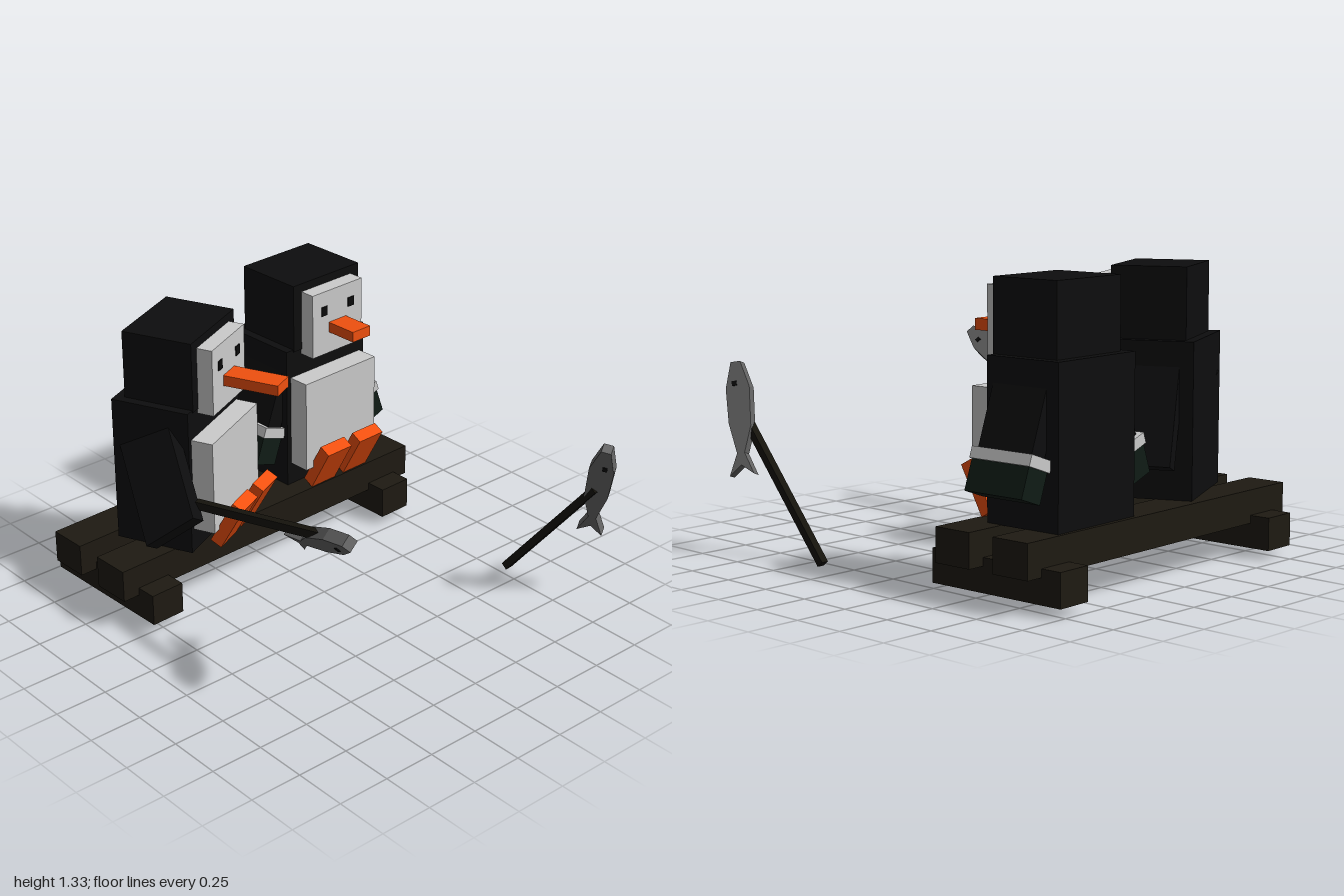
import * as THREE from 'three';

const mat = (color) => new THREE.MeshStandardMaterial({ color, flatShading: true });
const M = {
  black: mat(0x0d0d0e), white: mat(0xcccccc), orange: mat(0xf0500f), wood: mat(0x1e1a12),
  rod: mat(0x16140d), mitten: mat(0x101c16), fish: mat(0x666666), eye: mat(0x0a0a0a),
};

// Box given by its size and centre
function box(parent, name, material, size, pos) {
  const m = new THREE.Mesh(new THREE.BoxGeometry(...size), material);
  m.name = name;
  m.position.set(...pos);
  parent.add(m);
  return m;
}

// Orients an object so that its x follows dir and its y leans toward side
function orient(obj, dir, side) {
  const d = new THREE.Vector3(...dir).normalize();
  const v = new THREE.Vector3(...side);
  v.addScaledVector(d, -v.dot(d)).normalize();
  const n = new THREE.Vector3().crossVectors(d, v);
  obj.quaternion.setFromRotationMatrix(new THREE.Matrix4().makeBasis(d, v, n));
  return d;
}

// Bench: two planks on two cross beams
function makeBench() {
  const bench = new THREE.Group();
  bench.name = 'bench';
  for (const s of [-1, 1]) {
    box(bench, 'benchPlank', M.wood, [0.187, 0.153, 1.78], [s * 0.157, 0.24, 0]);
    box(bench, 'benchBeam', M.wood, [0.7, 0.15, 0.17], [0, 0.125, s * 0.72]);
  }
  bench.position.set(-0.617, 0, 0.016);
  bench.rotation.y = 0.037;
  return bench;
}

// Hanging arm, with an optional cuffed mitten
function addArm(parent, side, mitten) {
  const arm = new THREE.Group();
  arm.name = 'arm';
  box(arm, 'flipper', M.black, [0.285, 0.56, 0.085], [0.015, -0.28, 0]);
  if (mitten) {
    box(arm, 'cuff', M.white, [0.32, 0.05, 0.135], [0.01, -0.415, 0]);
    box(arm, 'mitten', M.mitten, [0.305, 0.135, 0.12], [0.01, -0.508, 0]);
  }
  arm.position.set(0, 1.0, side * 0.17);
  arm.rotation.x = -side * 0.345;
  parent.add(arm);
}

// Seated penguin facing its own +x
function makePenguin(name, beakTip, footShift) {
  const p = new THREE.Group();
  p.name = name;
  box(p, 'torso', M.black, [0.38, 0.7, 0.5], [0, 0.665, 0]);
  box(p, 'head', M.black, [0.34, 0.33, 0.415], [0.025, 1.17, 0]);
  box(p, 'belly', M.white, [0.12, 0.45, 0.45], [0.235, 0.652, 0]);
  box(p, 'face', M.white, [0.09, 0.315, 0.315], [0.225, 1.138, 0]);
  box(p, 'beak', M.orange, [beakTip - 0.2, 0.05, 0.11], [(beakTip + 0.2) / 2, 1.11, 0]);
  for (const s of [-1, 1]) {
    box(p, 'eye', M.eye, [0.02, 0.045, 0.036], [0.265, 1.2, s * 0.085]);
    // Feet lean forward with the soles showing
    const foot = box(p, 'foot', M.orange, [0.06, 0.24, 0.152],
      [0.315 + footShift, 0.436 + footShift, s * 0.104]);
    foot.rotation.z = -0.5;
  }
  return p;
}

// Flat fish along +x from its tail, with an eye on each side
function makeFish(tail, dir, side) {
  const fish = new THREE.Group();
  fish.name = 'fish';
  const outline = [[0, 0.058], [0.045, 0], [0, -0.058], [0.1, -0.018], [0.22, -0.055], [0.4, -0.058],
    [0.52, -0.02], [0.52, 0.025], [0.4, 0.055], [0.24, 0.05], [0.1, 0.018]];
  const shape = new THREE.Shape(outline.map(([x, y]) => new THREE.Vector2(x, y)));
  const geo = new THREE.ExtrudeGeometry(shape, { depth: 0.056, bevelEnabled: false });
  geo.translate(0, 0, -0.028);
  const body = new THREE.Mesh(geo, M.fish);
  body.name = 'fishBody';
  fish.add(body);
  box(fish, 'fishEye', M.eye, [0.022, 0.022, 0.066], [0.42, 0.012, 0]);
  fish.position.set(...tail);
  orient(fish, dir, side);
  return fish;
}

// Square rod between two points
function makeRod(a, b) {
  const d = b.map((v, i) => v - a[i]);
  const rod = new THREE.Mesh(new THREE.BoxGeometry(Math.hypot(...d), 0.036, 0.036), M.rod);
  rod.name = 'rod';
  rod.position.set(...a.map((v, i) => (v + b[i]) / 2));
  orient(rod, d, [0, 1, 0]);
  return rod;
}

export function createModel() {
  const model = new THREE.Group();
  model.add(makeBench());

  // Penguin with mittens
  const a = makePenguin('mittenPenguin', 0.43, 0);
  addArm(a, 1, true);
  addArm(a, -1, true);
  a.position.set(-0.675, 0, -0.42);
  a.rotation.y = 0.05;
  model.add(a);

  // Penguin turned toward its neighbour
  const b = makePenguin('turnedPenguin', 0.535, 0.017);
  addArm(b, -1, false);
  b.position.set(-0.545, 0, 0.41);
  b.rotation.y = 0.435;
  model.add(b);

  // Its outer arm reaches forward to the rod
  const arm = box(model, 'raisedArm', M.black, [0.58, 0.28, 0.07], [0, 0, 0]);
  const d = orient(arm, [0.755, -0.58, 0.3], [-0.645, -0.617, 0.437]);
  arm.position.set(-0.11, 0.565, 0.765).addScaledVector(d, -0.29);

  // Held rod and loose rod, each with a fish on the end
  const held = new THREE.Group();
  held.name = 'heldFishingRod';
  held.add(makeRod([-0.1, 0.675, 0.65], [0.7, 0.845, 0.602]),
    makeFish([0.425, 0.69, 0.517], [0.45, 0.21, 0.115], [0.05, -0.085, -0.075]));
  const loose = new THREE.Group();
  loose.name = 'looseFishingRod';
  loose.add(makeRod([0.4, 0.02, -0.8], [0.9, 0.635, -0.82]),
    makeFish([0.828, 0.375, -0.888], [0.135, 0.48, 0.085], [0.84, -0.145, -0.52]));
  model.add(held, loose);
  return model;
}
